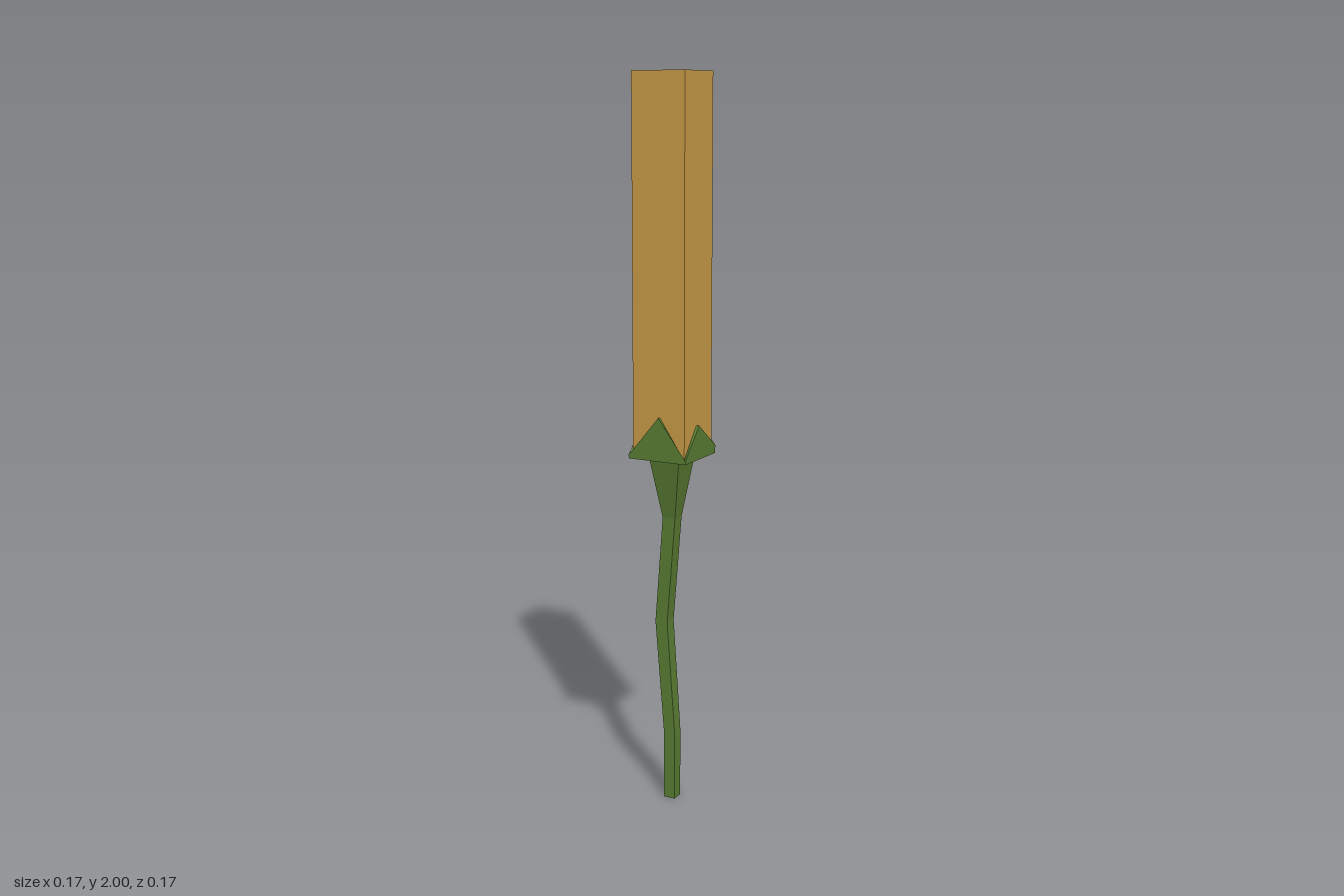
import * as THREE from 'three';

const green = new THREE.MeshStandardMaterial({ color: 0x5a7d33, flatShading: true });
const tan = new THREE.MeshStandardMaterial({ color: 0xc89b46, flatShading: true });

// Skins a stack of rings, each counterclockwise seen from above, and closes the bottom.
function loft(rings) {
  const n = rings[0].length, index = [];
  for (let r = 0; r < rings.length - 1; r++) {
    for (let i = 0; i < n; i++) {
      const a = r * n + i, b = r * n + (i + 1) % n;
      index.push(a, b, b + n, a, b + n, a + n);
    }
  }
  for (let i = 1; i < n - 1; i++) index.push(0, i + 1, i);
  const geo = new THREE.BufferGeometry();
  geo.setAttribute('position', new THREE.Float32BufferAttribute(rings.flat(2), 3));
  geo.setIndex(index);
  const flat = geo.toNonIndexed();
  flat.computeVertexNormals();
  return flat;
}

function addMesh(group, name, geometry, material) {
  const mesh = new THREE.Mesh(geometry, material);
  mesh.name = name;
  group.add(mesh);
  return mesh;
}

export function createModel() {
  const group = new THREE.Group();
  group.name = 'flower';

  // Long square flower head
  const head = addMesh(group, 'flowerHead', new THREE.BoxGeometry(0.155, 1.005, 0.155), tan);
  head.position.set(0, 1.4975, -0.002);

  // Bent square stem, flaring under the calyx: x, y, z, half width
  const sections = [
    [-0.004, 0, -0.007, 0.017],
    [-0.004, 0.2, -0.007, 0.017],
    [-0.025, 0.52, -0.002, 0.0185],
    [0, 0.82, 0, 0.019],
    [0, 0.992, 0.001, 0.046],
  ];
  const square = [[1, 1], [1, -1], [-1, -1], [-1, 1]];
  addMesh(group, 'stem', loft(sections.map(([x, y, z, h]) =>
    square.map(([sx, sz]) => [x + sx * h, y, z + sz * h]))), green);

  // Calyx: square cup whose four walls rise to pointed sepals: x side, z side, height
  const rim = [
    [1, 1, 1.0], [1, 0.1, 1.082], [1, -1, 1.012], [0.1, -1, 1.105],
    [-1, -1, 1.0], [-1, -0.1, 1.1], [-1, 1, 1.0], [0.05, 1, 1.108],
  ];
  const ring = (half, y) => rim.map(([sx, sz, top]) =>
    [sx * half, y ?? top, sz * half - 0.001]);
  addMesh(group, 'calyx', loft([ring(0.086, 0.99), ring(0.086), ring(0.077)]), green);

  return group;
}
